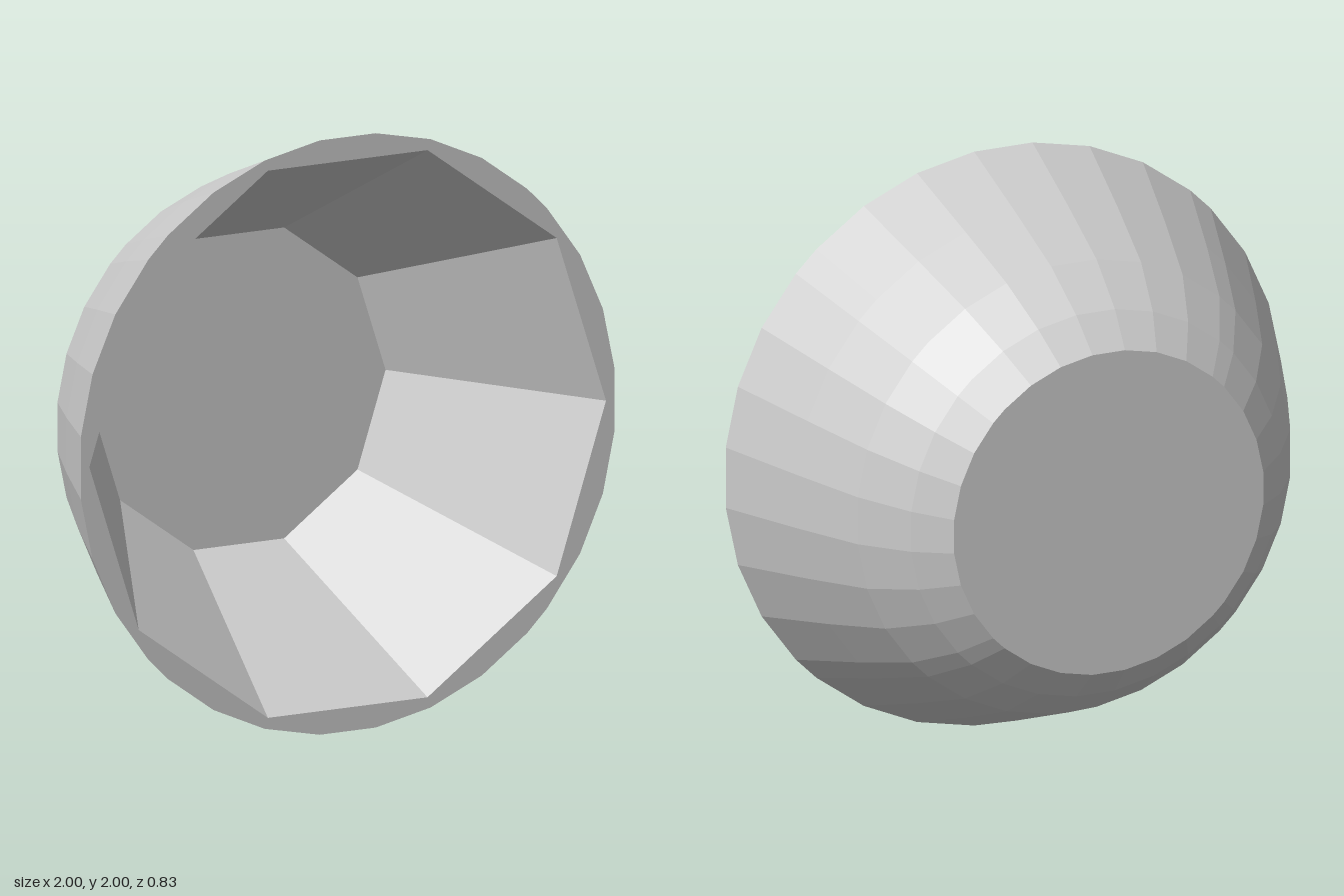
import * as THREE from 'three';

const CENTRE_Y = 1;
const material = new THREE.MeshStandardMaterial({ color: 0xcccccc, flatShading: true });

// Outer outline: 12 degree steps with a short facet on each diagonal
const quarter = [6, 18, 30, 42, 48, 60, 72, 84];
const outerAngles = [0, 90, 180, 270].flatMap(q => quarter.map(a => THREE.MathUtils.degToRad(q + a)));
// Inner outline: a regular decagon
const innerAngles = Array.from({ length: 10 }, (_, i) => (i * Math.PI) / 5);

const ring = (angles, r) => angles.map(a => new THREE.Vector2(r * Math.cos(a), r * Math.sin(a)));

// Wall through a list of [radius, z] rings, running front to back;
// it faces outward unless inward is set
function wall(angles, profile, inward = false) {
  const n = angles.length;
  const positions = [];
  const index = [];
  for (const [r, z] of profile) {
    for (const p of ring(angles, r)) positions.push(p.x, p.y, z);
  }
  for (let k = 0; k < profile.length - 1; k++) {
    for (let i = 0; i < n; i++) {
      const j = (i + 1) % n;
      const a = k * n + i, b = k * n + j, c = a + n, d = b + n;
      if (inward) index.push(a, b, c, b, d, c);
      else index.push(a, c, b, b, c, d);
    }
  }
  const g = new THREE.BufferGeometry();
  g.setAttribute('position', new THREE.Float32BufferAttribute(positions, 3));
  g.setIndex(index);
  g.computeVertexNormals();
  return g;
}

export function createModel() {
  const group = new THREE.Group();
  group.name = 'bowl';
  const add = (name, geometry, z = 0) => {
    const mesh = new THREE.Mesh(geometry, material);
    mesh.name = name;
    mesh.position.set(0, CENTRE_Y, z);
    group.add(mesh);
    return mesh;
  };

  const front = 0.413, back = -0.413, floorZ = -0.32;
  const rimR = 1.0055, baseR = 0.56, mouthR = 0.968, floorR = 0.55;

  // Curved outside
  add('outerWall', wall(outerAngles, [
    [rimR, front], [0.889, 0.11], [0.784, -0.14], [0.668, -0.31], [baseR, back],
  ]));

  // Ten-sided hollow
  add('innerWall', wall(innerAngles, [[mouthR, front], [floorR, floorZ]], true));
  add('innerFloor', new THREE.ShapeGeometry(new THREE.Shape(ring(innerAngles, floorR))), floorZ);

  // Flat lip between the round outside and the ten-sided hollow
  const lip = new THREE.Shape(ring(outerAngles, rimR));
  lip.holes.push(new THREE.Path(ring(innerAngles, mouthR)));
  add('rim', new THREE.ShapeGeometry(lip), front);

  // Flat base closing the back
  const base = add('base', new THREE.ShapeGeometry(new THREE.Shape(ring(outerAngles, baseR))), back);
  base.rotation.y = Math.PI;

  return group;
}
